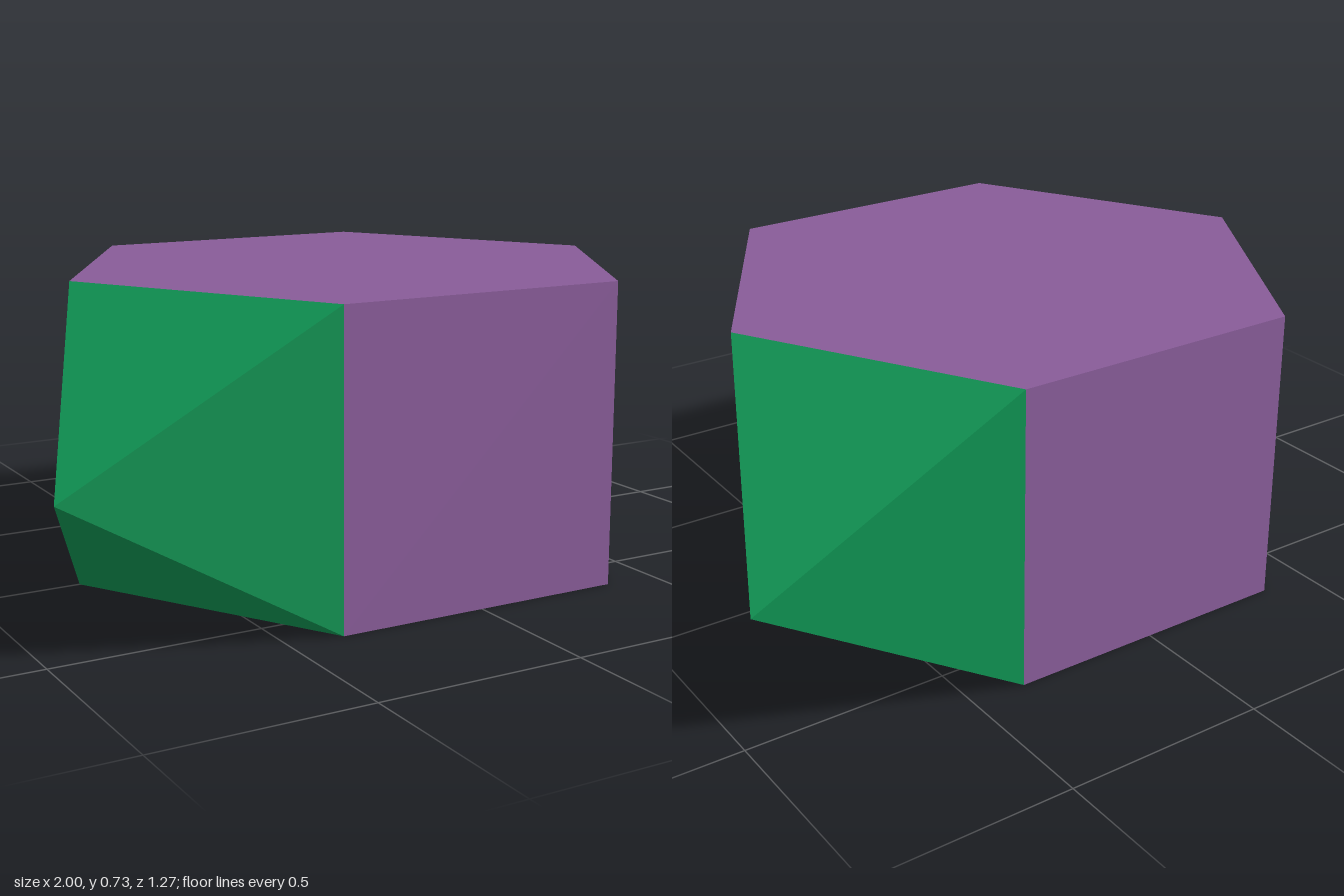
import * as THREE from 'three';

const EDGE = 0.734; // every edge of the solid has this length

export function createModel() {
  const group = new THREE.Group();
  const purple = new THREE.MeshStandardMaterial({ color: 0x875b97, flatShading: true });
  purple.name = 'purple';
  const green = new THREE.MeshStandardMaterial({ color: 0x0f9252, flatShading: true });
  green.name = 'green';

  // Hexagonal prism with corners on the x axis, its two capped sides left open
  const prism = new THREE.CylinderGeometry(EDGE, EDGE, EDGE, 6, 1, false, Math.PI / 2);
  const body = new THREE.Mesh(prism, purple);
  body.name = 'hexagonalPrism';
  body.position.y = EDGE / 2;
  group.add(body);

  // Square pyramids with equilateral sides on two opposite prism faces
  const rise = EDGE / Math.SQRT2;
  const pyramid = new THREE.ConeGeometry(rise, rise, 4, 1, true);
  pyramid.rotateY(Math.PI / 4);
  pyramid.rotateX(Math.PI / 2);
  pyramid.translate(0, EDGE / 2, EDGE * Math.sqrt(3) / 2 + rise / 2);
  [['rightPyramid', -Math.PI / 3], ['leftPyramid', Math.PI * 2 / 3]].forEach(([name, angle]) => {
    const mesh = new THREE.Mesh(pyramid, green);
    mesh.name = name;
    mesh.rotation.y = angle;
    group.add(mesh);
  });

  return group;
}
